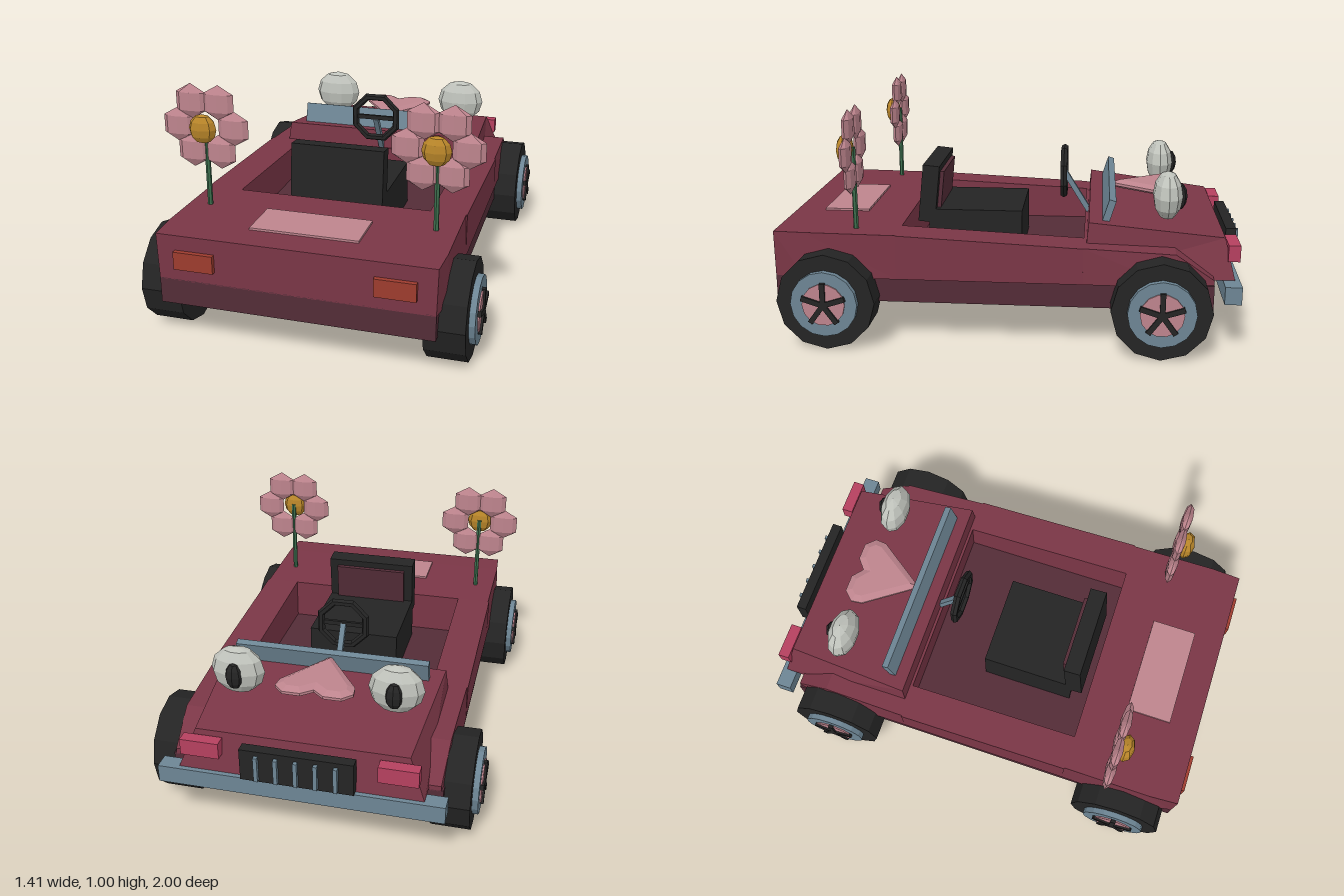
import * as THREE from 'three';

const mat = (name, color, side = THREE.FrontSide) => {
  const m = new THREE.MeshStandardMaterial({ color, flatShading: true, side });
  m.name = name;
  return m;
};

// Skin through rings of points, each ring counter-clockwise seen from the end of the loft
function loft(rings) {
  const n = rings[0].length, pos = rings.flat(2), idx = [];
  for (let r = 0; r < rings.length - 1; r++)
    for (let i = 0; i < n; i++) {
      const a = r * n + i, b = r * n + (i + 1) % n;
      idx.push(a, b, b + n, a, b + n, a + n);
    }
  const last = (rings.length - 1) * n;
  for (let i = 1; i < n - 1; i++) idx.push(0, i + 1, i, last, last + i, last + i + 1);
  const g = new THREE.BufferGeometry();
  g.setAttribute('position', new THREE.Float32BufferAttribute(pos, 3));
  g.setIndex(idx);
  const flat = g.toNonIndexed();
  flat.computeVertexNormals();
  return flat;
}

export function createModel() {
  const body = mat('bodyMaroon', 0x7a3646), dark = mat('darkMaroon', 0x532c37);
  const black = mat('black', 0x242424), steel = mat('steelBlue', 0x6d8594);
  const pink = mat('pink', 0xbd848d), gold = mat('gold', 0xb88529);
  const white = mat('eyeWhite', 0xbfc2bb), green = mat('stemGreen', 0x3c6e4d);
  const red = mat('lampRed', 0x9c3b2e), rose = mat('lampRose', 0xb5405f);

  const car = new THREE.Group();
  car.name = 'car';
  const add = (name, geo, material, x = 0, y = 0, z = 0, parent = car) => {
    const m = new THREE.Mesh(geo, material);
    m.name = name;
    m.position.set(x, y, z);
    parent.add(m);
    return m;
  };
  const box = (w, h, d) => new THREE.BoxGeometry(w, h, d);
  const ball = (x, y, z, w = 10, h = 6) => new THREE.SphereGeometry(1, w, h).scale(x, y, z);

  // Lower chassis, also the cockpit floor
  add('chassis', box(1.12, 0.11, 1.84), dark, 0, 0.235, 0.06);

  // Upper body: front, rear deck and the two cockpit sills
  const full = (z, xb, xt, y) => [[-xb, 0.285, z], [xb, 0.285, z], [xt, y, z], [-xt, y, z]];
  add('frontBody', loft([full(-0.86, 0.55, 0.55, 0.31), full(-0.7, 0.575, 0.56, 0.42),
    full(-0.32, 0.575, 0.57, 0.44)]), body);
  add('rearDeck', loft([full(0.46, 0.575, 0.57, 0.475), full(0.85, 0.583, 0.573, 0.48),
    full(0.98, 0.56, 0.565, 0.48)]), body);
  const sill = (s, z, y) => {
    const [a, b] = s > 0 ? [0.42, 0.575] : [-0.575, -0.42];
    return [[a, 0.285, z], [b, 0.285, z], [b, y, z], [a, y, z]];
  };
  for (const s of [-1, 1])
    add(s > 0 ? 'leftSill' : 'rightSill', loft([sill(s, -0.32, 0.44), sill(s, 0.46, 0.475)]), body);

  // Tapered hood
  add('hood', loft([
    [[-0.51, 0.295, -0.32], [0.51, 0.295, -0.32], [0.5, 0.295, -0.95], [-0.5, 0.295, -0.95]],
    [[-0.48, 0.525, -0.34], [0.48, 0.525, -0.34], [0.435, 0.46, -0.91], [-0.435, 0.46, -0.91]],
  ]), body);

  // Plate on the rear deck
  add('deckPlate', box(0.45, 0.009, 0.2), pink, 0, 0.4845, 0.75);

  // Seat
  add('seatCushion', box(0.41, 0.2, 0.42), black, 0, 0.39, 0.17);
  const back = new THREE.Group();
  back.name = 'seatBack';
  back.position.set(0, 0.56, 0.38);
  back.rotation.x = -0.1;
  car.add(back);
  add('seatBackFrame', box(0.41, 0.26, 0.075), black, 0, 0, 0, back);
  add('seatBackPad', box(0.33, 0.2, 0.02), dark, 0, 0, -0.045, back);

  // Steering wheel and column
  add('steeringWheel', new THREE.TorusGeometry(0.108, 0.017, 6, 8).rotateZ(Math.PI / 8), black, 0, 0.632, -0.22);
  const column = add('steeringColumn', box(0.024, 0.22, 0.024), steel, 0, 0.535, -0.28);
  column.rotation.x = 0.56;
  add('steeringSpoke', box(0.2, 0.02, 0.014), black, 0, 0.632, -0.22);

  // Low windscreen bar
  const screen = add('windscreen', box(0.84, 0.095, 0.03), steel, 0, 0.56, -0.425);
  screen.rotation.x = -0.3;

  // Heart above the hood, tip towards the cockpit
  const heart = new THREE.Shape([[0, -0.225], [0.15, -0.01], [0.155, 0.035], [0.12, 0.072], [0.05, 0.072], [0, 0.03],
    [-0.05, 0.072], [-0.12, 0.072], [-0.155, 0.035], [-0.15, -0.01]].map(([x, y]) => new THREE.Vector2(x, y)));
  const heartGeo = new THREE.ExtrudeGeometry(heart,
    { depth: 0.012, bevelEnabled: true, bevelSegments: 1, bevelThickness: 0.014, bevelSize: 0.03, bevelOffset: -0.022 });
  add('heart', heartGeo.rotateX(-Math.PI / 2), pink, 0, 0.569, -0.67);

  // Nose: grille with bars, and bumper
  add('grille', box(0.46, 0.14, 0.045), black, 0, 0.37, -0.96);
  for (let i = -2; i <= 2; i++) add('grilleBar', box(0.016, 0.11, 0.02), steel, i * 0.08, 0.365, -0.99);
  add('bumper', box(1.17, 0.075, 0.07), steel, 0, 0.258, -0.935);

  // Six-petalled flower on a stem
  const petal = ball(0.075, 0.075, 0.024, 8, 3);
  const flower = (x) => {
    const g = new THREE.Group();
    g.name = 'flower';
    g.position.set(x, 0.82, 0.645);
    car.add(g);
    add('stem', new THREE.CylinderGeometry(0.011, 0.011, 0.36, 6), green, 0, -0.17, 0, g);
    for (let i = 0; i < 6; i++) {
      const a = i * Math.PI / 3;
      add('petal', petal, pink, Math.cos(a) * 0.12, Math.sin(a) * 0.12, 0, g);
    }
    add('flowerCentre', ball(0.06, 0.062, 0.037, 8, 6), gold, 0, 0, 0.033, g);
  };

  // Wheel with rim, hub disc and five spokes; s is the side it faces
  const disc = (r, w, n) => new THREE.CylinderGeometry(r, r, w, n).rotateZ(Math.PI / 2);
  const wheel = (s, z) => {
    const g = new THREE.Group();
    g.name = 'wheel';
    g.position.set(0, 0.207, z);
    car.add(g);
    add('tyre', disc(0.207, 0.165, 12), black, s * 0.5825, 0, 0, g);
    add('rim', disc(0.14, 0.03, 16), steel, s * 0.675, 0, 0, g);
    add('hubDisc', disc(0.09, 0.009, 14), pink, s * 0.692, 0, 0, g);
    for (let i = 0; i < 5; i++) {
      const spoke = box(0.016, 0.095, 0.022).translate(s * 0.697, 0.0475, 0);
      add('spoke', spoke.rotateX(i * Math.PI * 2 / 5), black, 0, 0, 0, g);
    }
  };

  // Mirrored parts
  for (const s of [-1, 1]) {
    flower(s * 0.483);
    wheel(s, 0.743);
    wheel(s, -0.643);
    add('eye', ball(0.115, 0.105, 0.064), white, s * 0.33, 0.612, -0.672);
    add('pupil', ball(0.04, 0.06, 0.036, 8, 6), black, s * 0.33, 0.608, -0.719);
    add('tailLamp', box(0.165, 0.075, 0.03), red, s * 0.405, 0.38, 0.985);
    add('headLamp', box(0.16, 0.07, 0.05), rose, s * 0.4, 0.405, -0.945);
  }
  return car;
}
